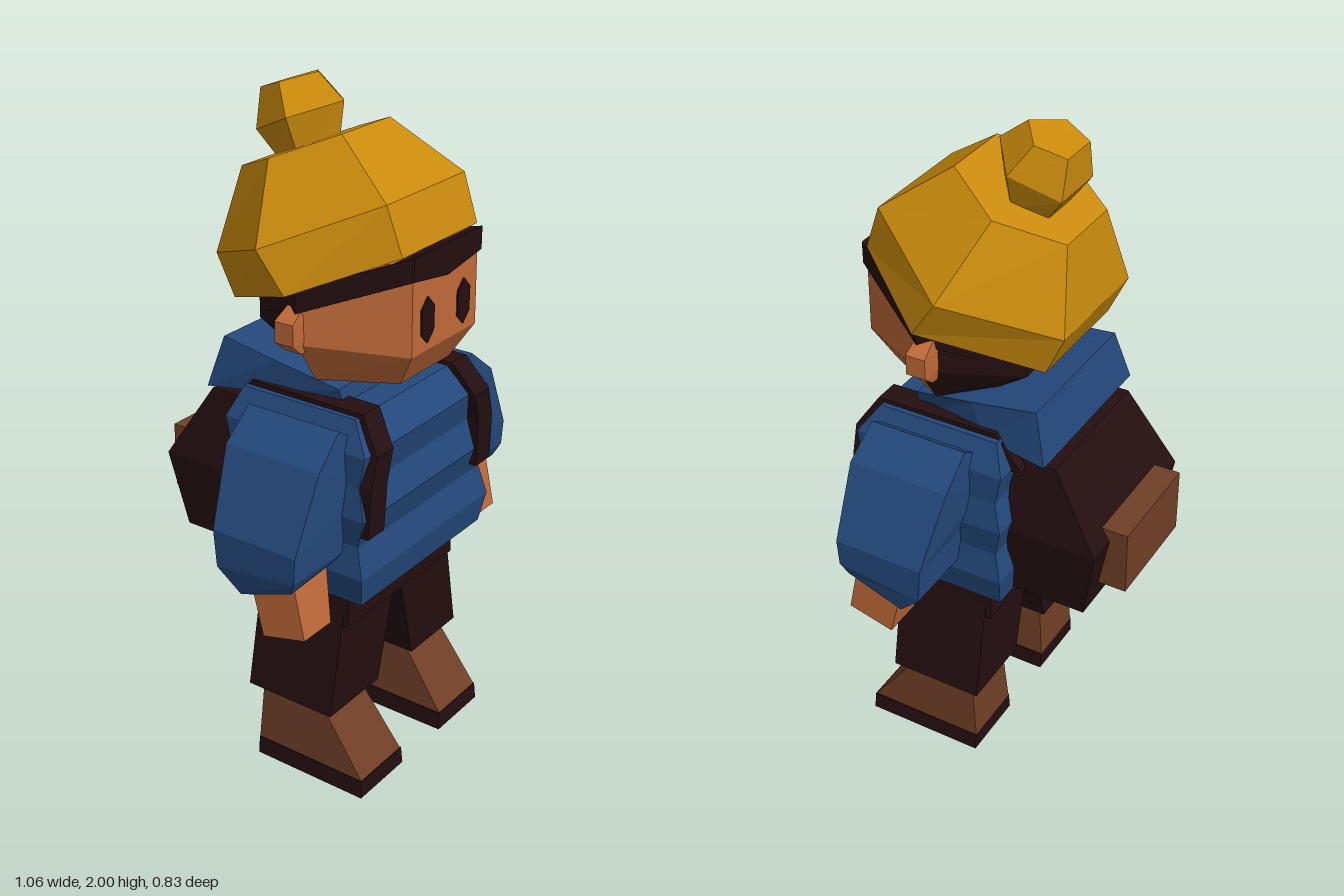
import * as THREE from 'three';

const mat = (name, color, side = THREE.FrontSide) =>
  Object.assign(new THREE.MeshStandardMaterial({ color, flatShading: true, side }), { name });

// Skin over stacked rings of corners (counter-clockwise seen from above, bottom ring first)
function loft(rings) {
  const pos = [], n = rings[0].length;
  const tri = (a, b, c) => pos.push(...a, ...b, ...c);
  for (let r = 0; r + 1 < rings.length; r++) {
    const lo = rings[r], hi = rings[r + 1];
    for (let i = 0; i < n; i++) {
      const j = (i + 1) % n;
      tri(lo[i], lo[j], hi[j]);
      tri(lo[i], hi[j], hi[i]);
    }
  }
  const bottom = rings[0], top = rings[rings.length - 1];
  for (let i = 1; i + 1 < n; i++) {
    tri(bottom[0], bottom[i + 1], bottom[i]);
    tri(top[0], top[i], top[i + 1]);
  }
  const g = new THREE.BufferGeometry();
  g.setAttribute('position', new THREE.Float32BufferAttribute(pos, 3));
  g.computeVertexNormals();
  return g;
}

// Ring helpers: four corners with own front and back heights, and symmetric rings from their +x half
const rect = (x0, x1, zb, zf, yf, yb = yf) =>
  [[x1, yf, zf], [x1, yb, zb], [x0, yb, zb], [x0, yf, zf]];
const flip = ([x, y, z]) => [-x, y, z];
const sym = (...half) => [...half, ...half.map(flip).reverse()];
const mirror = (rings) => rings.map((r) => r.map(flip).reverse());

export function createModel() {
  const model = new THREE.Group();
  model.name = 'hiker';
  const yellow = mat('hat yellow', 0xc98a0c);
  const blue = mat('sweater blue', 0x24497c);
  const skin = mat('skin', 0xc06a38);
  const brown = mat('boot brown', 0x703f26);
  const dark = mat('dark brown', 0x240e10, THREE.DoubleSide);

  const add = (name, rings, material) => {
    const m = new THREE.Mesh(loft(rings), material);
    m.name = name;
    model.add(m);
    return m;
  };
  const pair = (name, rings, material) => {
    add('left' + name, rings, material);
    add('right' + name, mirror(rings), material);
  };

  // Boots, soles and trousers
  pair('Sole', [rect(0.1, 0.315, 0, 0.375, 0), rect(0.105, 0.31, 0, 0.372, 0.055)], dark);
  pair('Boot', [rect(0.108, 0.308, 0, 0.37, 0.055), rect(0.12, 0.3, 0.015, 0.215, 0.265)], brown);
  pair('TrouserLeg', [rect(0.09, 0.33, -0.018, 0.275, 0.25), rect(0.005, 0.265, -0.018, 0.275, 0.58)], dark);
  add('hips', [rect(-0.27, 0.27, -0.035, 0.29, 0.525), rect(-0.262, 0.262, -0.035, 0.29, 0.66)], dark);

  // Sweater body with ribbed folds: height, half width, back, front
  add('sweater', [
    [0.64, 0.305, -0.09, 0.36], [0.73, 0.325, -0.1, 0.375], [0.82, 0.31, -0.08, 0.35],
    [0.91, 0.325, -0.103, 0.378], [1.0, 0.31, -0.08, 0.352], [1.09, 0.31, -0.1, 0.37],
    [1.175, 0.27, -0.065, 0.31],
  ].map(([y, h, b, f]) => rect(-h, h, b, f, y)), blue);

  // Sleeves: outer x, outer y, inner x, inner y, back z, front z, drop of the back edge
  pair('Sleeve', [
    [0.515, 0.75, 0.325, 0.76, 0.11, 0.28, 0.06],
    [0.53, 0.79, 0.3, 0.79, 0.04, 0.3, 0.03],
    [0.53, 0.87, 0.28, 0.87, 0.03, 0.305, 0],
    [0.43, 1.08, 0.24, 0.97, 0, 0.31, 0],
    [0.33, 1.16, 0.24, 1.1, 0, 0.3, 0],
  ].map(([xo, yo, xi, yi, b, f, d]) =>
    [[xo, yo, f], [xo, yo - d, b], [xi, yi - d, b], [xi, yi, f]]), blue);
  pair('Hand', [rect(0.37, 0.49, 0.165, 0.305, 0.6, 0.565), rect(0.34, 0.49, 0.125, 0.265, 0.78, 0.72)], skin);

  // Neck and hood collar
  add('neck', [rect(-0.1, 0.1, 0.02, 0.22, 1.1), rect(-0.1, 0.1, 0.02, 0.22, 1.27)], skin);
  add('hood', [
    sym([0.2, 1.15, 0.23], [0.24, 1.16, 0.0], [0.26, 1.135, -0.205]),
    sym([0.22, 1.22, 0.22], [0.24, 1.26, 0.03], [0.23, 1.285, -0.165]),
  ], blue);

  // Backpack, pocket and shoulder straps
  add('backpack', [
    rect(-0.23, 0.23, -0.32, -0.085, 0.645),
    rect(-0.26, 0.26, -0.365, -0.085, 0.88),
    rect(-0.22, 0.22, -0.22, -0.085, 1.11),
  ], dark);
  add('backpackPocket', [rect(-0.168, 0.168, -0.42, -0.33, 0.72), rect(-0.168, 0.168, -0.42, -0.33, 0.92)], brown);
  pair('Strap', [
    [0.275, 0.855, 0.385, 0, 1], [0.27, 1.0, 0.39, 0, 1], [0.245, 1.09, 0.39, 0.3, 0.95],
    [0.218, 1.187, 0.325, 0.8, 0.6], [0.215, 1.19, -0.05, 1, 0], [0.215, 1.09, -0.13, 0.3, -0.95],
  ].map(([x, y, z, ny, nz]) => {
    const t = 0.04, a = x + 0.038, b = x - 0.038;
    const yi = y - ny * t, zi = z - nz * t;
    return [[a, y, z], [a, yi, zi], [b, yi, zi], [b, y, z]];
  }), dark);

  // Head: face in front, hair behind
  add('face', [
    sym([0.12, 1.235, 0.35], [0.23, 1.235, 0.15]),
    sym([0.157, 1.335, 0.408], [0.31, 1.36, 0.15]),
    sym([0.157, 1.6, 0.405], [0.31, 1.56, 0.15]),
  ], skin);
  add('backHair', [
    sym([0.23, 1.235, 0.15], [0.12, 1.235, 0.03]),
    sym([0.31, 1.36, 0.15], [0.157, 1.335, -0.095]),
    sym([0.31, 1.56, 0.15], [0.157, 1.48, -0.095]),
  ], dark);
  const fringe = (mid, front, side, back) => {
    const half = [[0.06, front, 0.414], [0.165, front, 0.414], [0.318, side, 0.15], [0.16, back, -0.09]];
    return [[0, mid, 0.414], ...half, ...half.map(flip).reverse()];
  };
  add('fringe', [fringe(1.523, 1.548, 1.45, 1.36), fringe(1.613, 1.613, 1.515, 1.45)], dark);
  pair('Ear', [
    rect(0.28, 0.305, 0.11, 0.16, 1.335),
    rect(0.28, 0.348, 0.105, 0.165, 1.37),
    rect(0.28, 0.348, 0.105, 0.165, 1.43),
    rect(0.28, 0.3, 0.11, 0.16, 1.46),
  ], skin);

  // Eyes: thin upright hexagons
  for (const s of [1, -1]) {
    const shape = new THREE.Shape([[0, 0.065], [-0.03, 0.035], [-0.03, -0.035], [0, -0.065], [0.03, -0.035], [0.03, 0.035]]
      .map(([x, y]) => new THREE.Vector2(x, y)));
    const eye = new THREE.Mesh(new THREE.ExtrudeGeometry(shape, { depth: 0.006, bevelEnabled: false }), dark);
    eye.name = s > 0 ? 'leftEye' : 'rightEye';
    eye.position.set(s * 0.088, 1.422, 0.406);
    model.add(eye);
  }

  // Woolly hat, tilted back, with bobble
  add('hat', [
    sym([0.18, 1.612, 0.388], [0.352, 1.505, 0.14], [0.18, 1.385, -0.165]),
    sym([0.185, 1.745, 0.34], [0.365, 1.62, 0.06], [0.185, 1.505, -0.222]),
    sym([0.11, 1.88, 0.147], [0.205, 1.81, -0.02], [0.11, 1.74, -0.187]),
  ], yellow);
  const penta = (f, s, b) => [f, s, b, flip(b), flip(s)];
  add('bobble', [
    penta([0, 1.815, 0.06], [0.09, 1.79, -0.01], [0.06, 1.765, -0.1]),
    penta([0, 1.935, 0.075], [0.13, 1.9, -0.02], [0.085, 1.84, -0.155]),
    penta([0, 2.0, -0.01], [0.087, 1.98, -0.075], [0.06, 1.95, -0.158]),
  ], yellow);

  return model;
}
